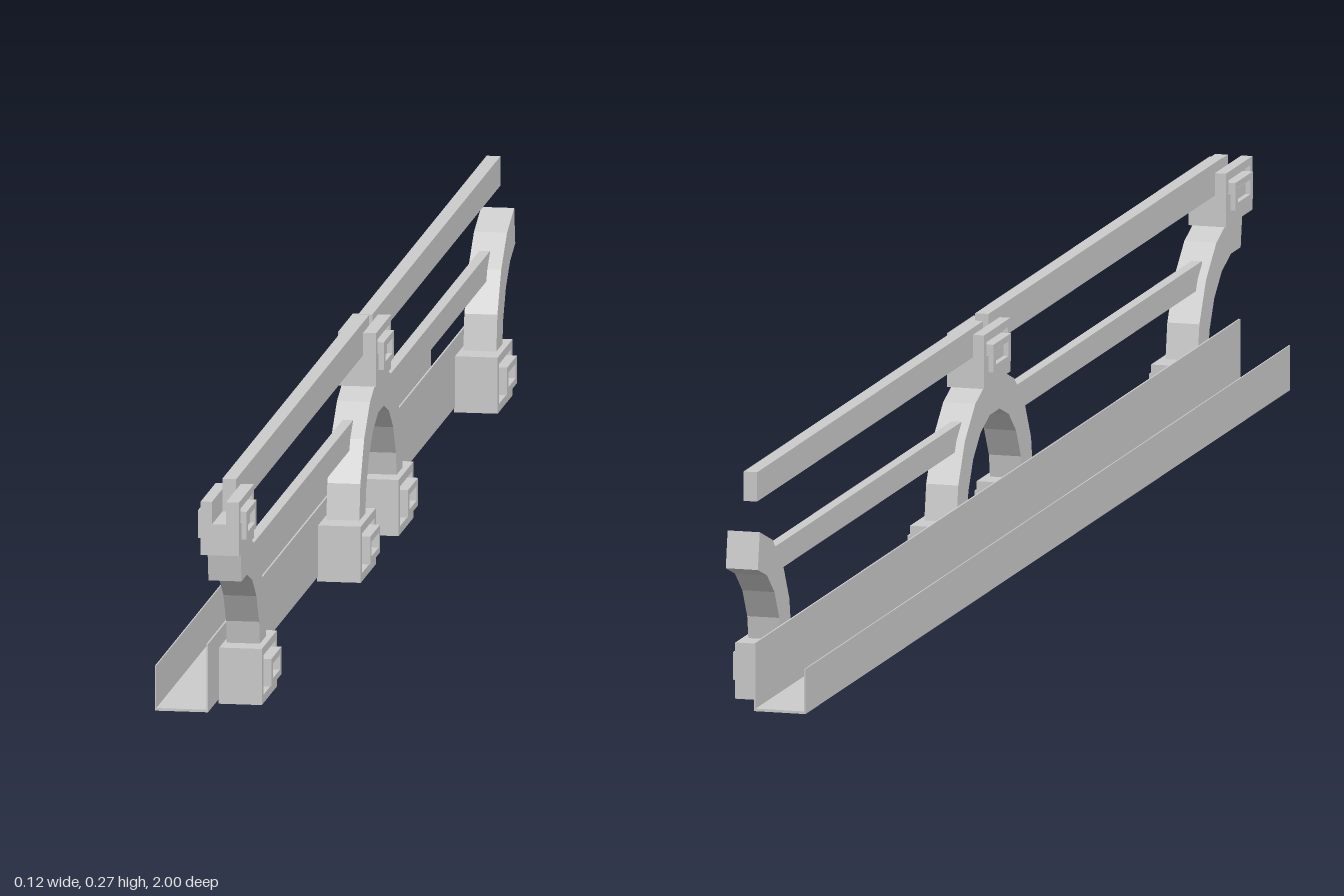
import * as THREE from 'three';

const grey = new THREE.MeshStandardMaterial({ color: 0xcccccc, flatShading: true, side: THREE.DoubleSide });

function add(parent, name, geometry) {
  const mesh = new THREE.Mesh(geometry, grey);
  mesh.name = name;
  parent.add(mesh);
  return mesh;
}

// Box given by its limits on each axis
function box(parent, name, x0, x1, y0, y1, z0, z1) {
  const g = new THREE.BoxGeometry(x1 - x0, y1 - y0, z1 - z0);
  g.translate((x0 + x1) / 2, (y0 + y1) / 2, (z0 + z1) / 2);
  return add(parent, name, g);
}

// Extrude a (z, y) outline sideways from x0 to x1
function extrudeX(shape, x0, x1) {
  const g = new THREE.ExtrudeGeometry(shape, { depth: x1 - x0, bevelEnabled: false });
  g.rotateY(-Math.PI / 2);
  g.translate(x1, 0, 0);
  return g;
}

function rect(w, h) {
  return [[-w, -h], [w, -h], [w, h], [-w, h]].map(([a, b]) => new THREE.Vector2(a / 2, b / 2));
}

function frame(parent, name, x0, x1, y, z, outer, inner) {
  const s = new THREE.Shape(rect(...outer));
  s.holes.push(new THREE.Path(rect(...inner)));
  add(parent, name, extrudeX(s, x0, x1)).position.set(0, y, z);
}

// Faceted arch between two angles, measured from +z
function arch(parent, name, z, from, to) {
  const n = Math.round(Math.abs(to - from) / 20);
  const ring = (r) => Array.from({ length: n + 1 }, (_, i) => {
    const a = THREE.MathUtils.degToRad(from + (to - from) * i / n);
    return new THREE.Vector2(z + r * Math.cos(a), 0.053 + r * Math.sin(a));
  });
  const shape = new THREE.Shape([...ring(0.155), ...ring(0.112).reverse()]);
  add(parent, name, extrudeX(shape, 0.005, 0.043));
}

// Foot block with a recessed, framed outer face
function foot(parent, z) {
  const g = new THREE.Group();
  g.name = 'foot';
  box(g, 'footBlock', 0, 0.041, 0, 0.065, z - 0.053, z + 0.053);
  frame(g, 'footRim', 0.041, 0.05, 0.0325, z, [0.106, 0.065], [0.086, 0.046]);
  frame(g, 'footBuckle', 0.04, 0.058, 0.034, z, [0.07, 0.032], [0.05, 0.017]);
  parent.add(g);
}

// Forked bracket that holds the top rail, framed on both sides
function railBracket(parent, z) {
  const g = new THREE.Group();
  g.name = 'railBracket';
  const z0 = z - 0.053, z1 = z + 0.053;
  box(g, 'bracketBase', 0.002, 0.046, 0.2, 0.236, z0, z1);
  box(g, 'innerCheek', 0.008, 0.015, 0.236, 0.262, z0, z1);
  box(g, 'outerCheek', 0.031, 0.039, 0.236, 0.262, z0, z1);
  for (const side of [-1, 1]) {
    const cheek = new THREE.Group();
    cheek.name = side > 0 ? 'outerClip' : 'innerClip';
    frame(cheek, 'clipRim', 0.014, 0.022, 0.231, z, [0.106, 0.062], [0.086, 0.044]);
    frame(cheek, 'clipBuckle', 0.014, 0.028, 0.232, z, [0.07, 0.032], [0.05, 0.017]);
    cheek.rotation.y = side > 0 ? 0 : Math.PI;
    // turning about y flips z, so shift the clip back to its bracket
    cheek.position.set(0.024, 0, side > 0 ? 0 : 2 * z);
    g.add(cheek);
  }
  parent.add(g);
}

export function createModel() {
  const model = new THREE.Group();
  model.name = 'railing';

  // Thin sheet channel behind the feet
  const channel = new THREE.Group();
  channel.name = 'channel';
  box(channel, 'channelFloor', -0.06, 0, 0.006, 0.009, -1, 0.94);
  box(channel, 'channelWall', -0.001, 0.001, 0.006, 0.085, -1, 0.94);
  box(channel, 'channelLip', -0.06, -0.0585, 0.006, 0.058, -1, 0.94);
  model.add(channel);

  // Arches: a half one at each end and a full one in the middle
  arch(model, 'frontArch', 0.942, 180, 80);
  arch(model, 'middleArch', -0.023, 0, 180);
  arch(model, 'backArch', -0.99, 0, 80);

  for (const z of [0.808, 0.11, -0.157, -0.856]) foot(model, z);
  for (const z of [0.945, -0.023]) railBracket(model, z);

  // Rails
  box(model, 'frontTopRail', 0.015, 0.031, 0.236, 0.274, -0.013, 0.925);
  box(model, 'backTopRail', 0.015, 0.031, 0.236, 0.27, -0.94, -0.035);
  box(model, 'frontMiddleRail', 0.015, 0.027, 0.14, 0.17, 0.07, 0.84);
  box(model, 'backMiddleRail', 0.015, 0.027, 0.14, 0.17, -0.89, -0.115);

  return model;
}
